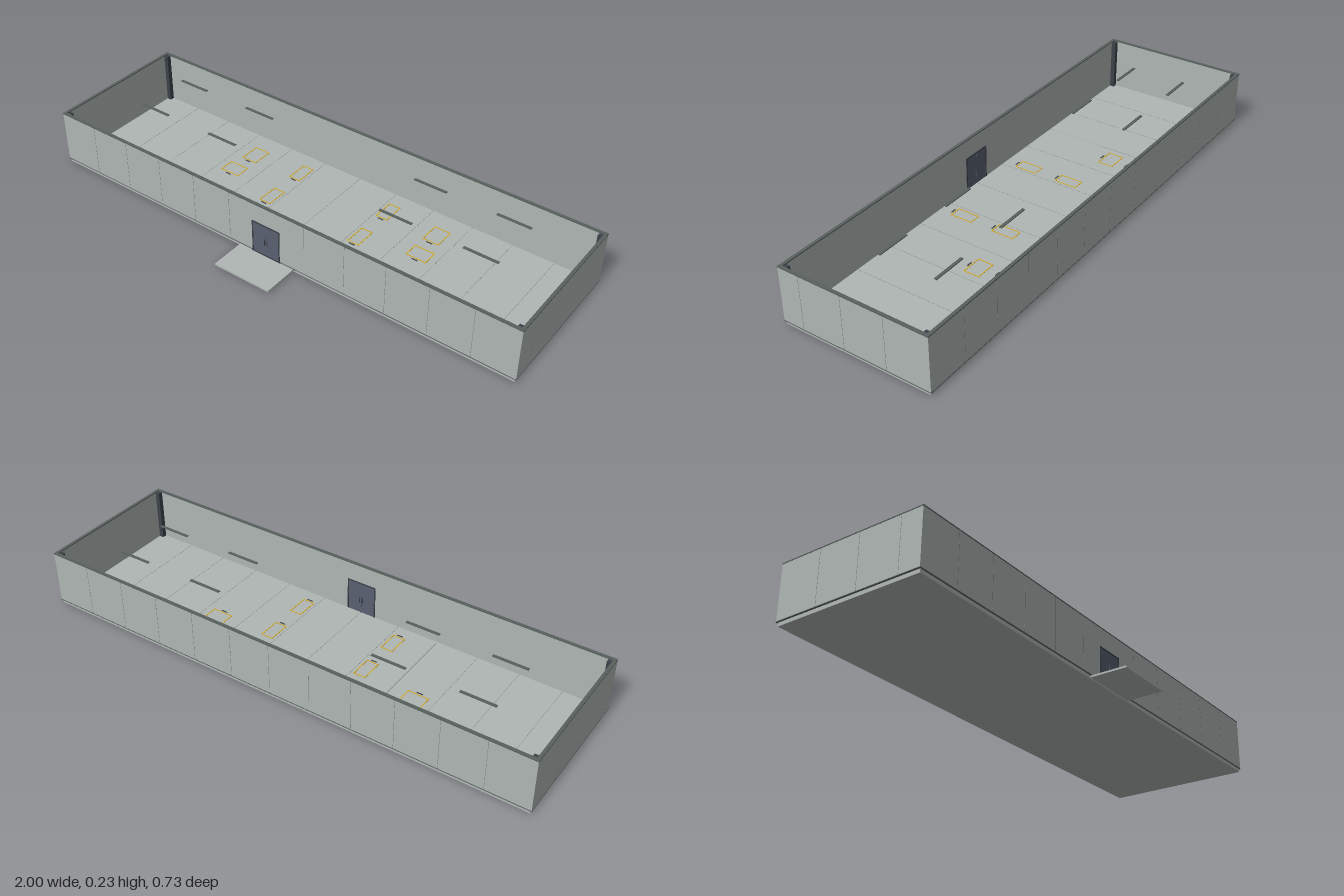
import * as THREE from 'three';

const paint = (name, color) => {
  const m = new THREE.MeshStandardMaterial({ color });
  m.name = name;
  return m;
};

export function createModel() {
  const model = new THREE.Group();
  model.name = 'openBuilding';

  const wallGrey = paint('wall grey', 0xaeb6b3);
  const floorGrey = paint('floor grey', 0xb0b7b5);
  const trimGrey = paint('trim grey', 0x59615e);
  const jointGrey = paint('joint grey', 0x7c8481);
  const doorGrey = paint('door blue grey', 0x596070);
  const darkMetal = paint('dark metal', 0x3c424b);
  const yellow = paint('marking yellow', 0xd0a828);

  // Box given by its limits on each axis
  const box = (name, mat, x0, x1, y0, y1, z0, z1, parent = model) => {
    const mesh = new THREE.Mesh(new THREE.BoxGeometry(x1 - x0, y1 - y0, z1 - z0), mat);
    mesh.position.set((x0 + x1) / 2, (y0 + y1) / 2, (z0 + z1) / 2);
    mesh.name = name;
    parent.add(mesh);
    return mesh;
  };
  const group = (name) => {
    const g = new THREE.Group();
    g.name = name;
    model.add(g);
    return g;
  };

  const BACK = -0.364, FRONT = 0.224, T = 0.009, FLOOR = 0.015, TOP = 0.221;

  // Rectangular ring of four bars
  const ring = (name, mat, x0, x1, z0, z1, y0, y1, w, parent = model) => {
    box(name, mat, x0, x1, y0, y1, z0, z0 + w, parent);
    box(name, mat, x0, x1, y0, y1, z1 - w, z1, parent);
    box(name, mat, x0, x0 + w, y0, y1, z0 + w, z1 - w, parent);
    box(name, mat, x1 - w, x1, y0, y1, z0 + w, z1 - w, parent);
  };

  // Foundation, floor and entrance apron
  box('foundation', floorGrey, -0.994, 0.994, 0, FLOOR, -0.36, 0.221);
  box('entranceApron', floorGrey, -0.12, 0.12, 0.005, 0.012, 0.219, 0.365);

  // Fine floor joints
  const joints = group('floorJoints');
  for (let i = -5; i <= 5; i++) {
    box('floorJoint', jointGrey, i / 6 - 0.0005, i / 6 + 0.0005, FLOOR, FLOOR + 0.0004,
      BACK + T, FRONT - T, joints);
  }

  // Walls: the front wall is split around the doorway
  const walls = group('walls');
  const DX0 = -0.062, DX1 = 0.06, DTOP = 0.147;
  box('backWall', wallGrey, -0.999, 0.999, FLOOR, TOP, BACK, BACK + T, walls);
  box('frontWallRight', wallGrey, -0.999, DX0, FLOOR, TOP, FRONT - T, FRONT, walls);
  box('frontWallLeft', wallGrey, DX1, 0.999, FLOOR, TOP, FRONT - T, FRONT, walls);
  box('frontWallLintel', wallGrey, DX0, DX1, DTOP, TOP, FRONT - T, FRONT, walls);
  for (const s of [-1, 1]) {
    const a = s * 0.999, b = s * (0.999 - T);
    box('endWall', wallGrey, Math.min(a, b), Math.max(a, b), FLOOR, TOP, BACK + T, FRONT - T, walls);
  }

  // Panel seams on the outside of the walls
  const seams = group('panelSeams');
  const W = 0.0006;
  for (let i = -5; i <= 5; i++) {
    const x = i / 6;
    if (i !== 0) box('frontSeam', jointGrey, x - W, x + W, FLOOR, TOP, FRONT - 0.001, FRONT + 0.0003, seams);
    box('backSeam', jointGrey, x - W, x + W, FLOOR, TOP, BACK - 0.0003, BACK + 0.001, seams);
  }
  for (const z of [0.14, -0.028, -0.195]) {
    for (const s of [-1, 1]) {
      box('endSeam', jointGrey, s * 0.9988 - 0.0005, s * 0.9988 + 0.0005, FLOOR, TOP, z - W, z + W, seams);
    }
  }

  // Top cap and base flashing
  ring('topCap', trimGrey, -1, 1, BACK - 0.001, FRONT + 0.001, TOP, 0.225, 0.012, group('topTrim'));
  ring('baseFlashing', trimGrey, -1, 1, BACK - 0.001, FRONT + 0.001, 0.0135, 0.0165, 0.009, group('baseTrim'));

  // Inner corner posts
  const posts = group('cornerPosts');
  for (const s of [-1, 1]) {
    for (const z of [BACK + T + 0.009, FRONT - T - 0.009]) {
      const x = s * 0.981;
      box('cornerPost', darkMetal, x - 0.009, x + 0.009, FLOOR, TOP, z - 0.009, z + 0.009, posts);
    }
  }

  // Double entrance door with frame, handles and threshold
  const door = group('entranceDoor');
  for (const [x0, x1] of [[DX0, DX0 + 0.005], [DX1 - 0.005, DX1]]) {
    box('doorJamb', darkMetal, x0, x1, FLOOR, DTOP, FRONT - T - 0.002, FRONT + 0.002, door);
  }
  box('doorHead', darkMetal, DX0, DX1, DTOP - 0.004, DTOP + 0.001, FRONT - T - 0.002, FRONT + 0.002, door);
  box('doorLeaf', doorGrey, DX0 + 0.005, -0.0015, FLOOR, DTOP - 0.004, FRONT - T - 0.001, FRONT + 0.001, door);
  box('doorLeaf', doorGrey, -0.0005, DX1 - 0.005, FLOOR, DTOP - 0.004, FRONT - T - 0.001, FRONT + 0.001, door);
  for (const x of [-0.008, 0.004]) {
    box('doorHandle', darkMetal, x, x + 0.003, 0.06, 0.082, FRONT - T - 0.004, FRONT + 0.0025, door);
  }
  box('threshold', darkMetal, -0.065, 0.063, 0.012, FLOOR + 0.001, FRONT - T, FRONT + 0.003, door);

  // Suspended light bars
  const lights = group('lightBars');
  for (const z of [-0.222, 0]) {
    for (const x of [-0.72, -0.387, 0.387, 0.72]) {
      box('lightBar', trimGrey, x - 0.066, x + 0.066, 0.232, 0.235, z - 0.0055, z + 0.0055, lights);
    }
  }

  // Yellow floor bays, each with a small dark plate in front
  const bays = group('floorBays');
  const bay = (x, z, w, d) => {
    ring('bayOutline', yellow, x - w / 2, x + w / 2, z - d / 2, z + d / 2, FLOOR, FLOOR + 0.001, 0.004, bays);
    box('bayPlate', darkMetal, x - 0.012, x + 0.012, FLOOR, FLOOR + 0.001,
      z + d / 2 + 0.004, z + d / 2 + 0.009, bays);
  };
  for (const s of [-1, 1]) {
    for (const z of [-0.247, -0.064, 0.116]) bay(s * 0.203, z, 0.05, 0.092);
    bay(s * 0.422, -0.235, 0.068, 0.087);
    bay(s * 0.43, -0.113, 0.085, 0.064);
  }

  return model;
}
